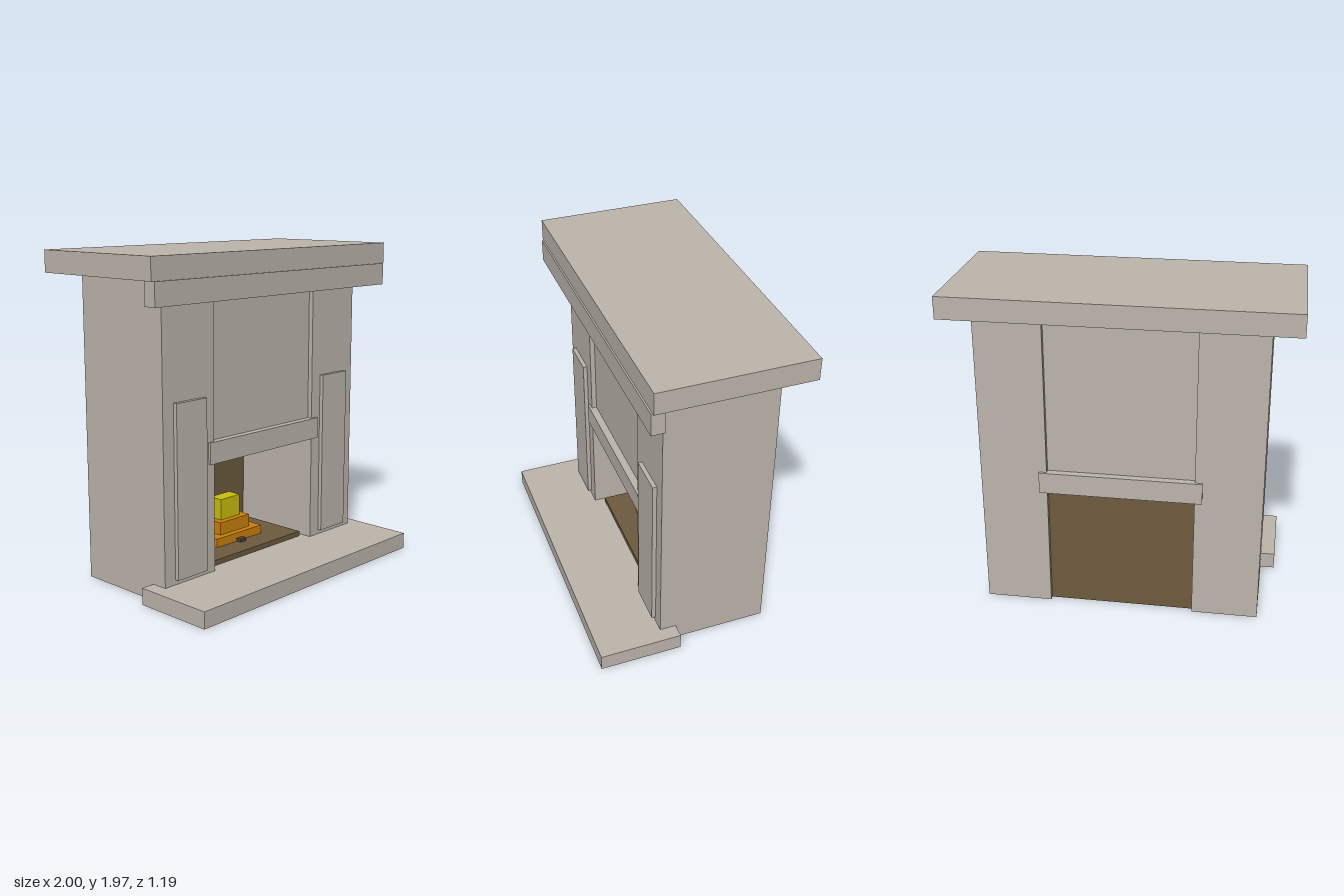
import * as THREE from 'three';

const mat = (name, color) => {
  const m = new THREE.MeshStandardMaterial({ color });
  m.name = name;
  return m;
};

export function createModel() {
  const stone = mat('stone', 0xbdb5ac);
  const soot = mat('sooty brick', 0x6d5b3e);
  const ember = mat('charred wood', 0x4c4336);
  const orange = mat('orange flame', 0xcb810d);
  const yellow = mat('yellow flame', 0xcbbd0f);

  const group = new THREE.Group();
  group.name = 'fireplace';

  // Box given by its [min, max] range on each axis
  const box = (name, material, [x0, x1], [y0, y1], [z0, z1]) => {
    const mesh = new THREE.Mesh(new THREE.BoxGeometry(x1 - x0, y1 - y0, z1 - z0), material);
    mesh.position.set((x0 + x1) / 2, (y0 + y1) / 2, (z0 + z1) / 2);
    mesh.name = name;
    group.add(mesh);
  };

  // Mantel
  box('mantelShelf', stone, [-1, 1], [1.84, 1.97], [-0.595, 0.31]);
  box('mantelTrim', stone, [-0.985, 0.985], [1.705, 1.84], [0.24, 0.32]);

  // Pillars with raised front panels
  for (const [side, s] of [['left', 1], ['right', -1]]) {
    const span = (a, b) => (s > 0 ? [a, b] : [-b, -a]);
    box(side + 'Pillar', stone, span(0.435, 0.83), [0, 1.84], [-0.475, 0.195]);
    box(side + 'PillarPanel', stone, span(0.515, 0.75), [0.13, 1.155], [0.195, 0.22]);
  }

  // Chimney breast, lintel and hearth
  box('chimneyBreast', stone, [-0.435, 0.435], [0.885, 1.84], [-0.445, 0.165]);
  box('lintel', stone, [-0.48, 0.48], [0.755, 0.885], [-0.49, 0.21]);
  box('hearth', stone, [-0.915, 0.915], [0, 0.1], [0.095, 0.595]);

  // Firebox
  box('fireboxBack', soot, [-0.435, 0.435], [0, 0.755], [-0.445, -0.4]);
  box('fireboxFloor', soot, [-0.4, 0.4], [0.002, 0.132], [-0.4, 0.135]);

  // Logs and stepped flames
  box('crossLog', ember, [-0.25, 0.19], [0.132, 0.143], [-0.17, -0.12]);
  box('frontLog', ember, [-0.025, 0.025], [0.132, 0.152], [-0.25, 0.015]);
  box('lowerFlame', orange, [-0.2, 0.2], [0.132, 0.187], [-0.27, -0.02]);
  box('middleFlame', orange, [-0.13, 0.13], [0.187, 0.267], [-0.23, -0.06]);
  box('upperFlame', yellow, [-0.085, 0.085], [0.267, 0.4], [-0.195, -0.1]);

  return group;
}
